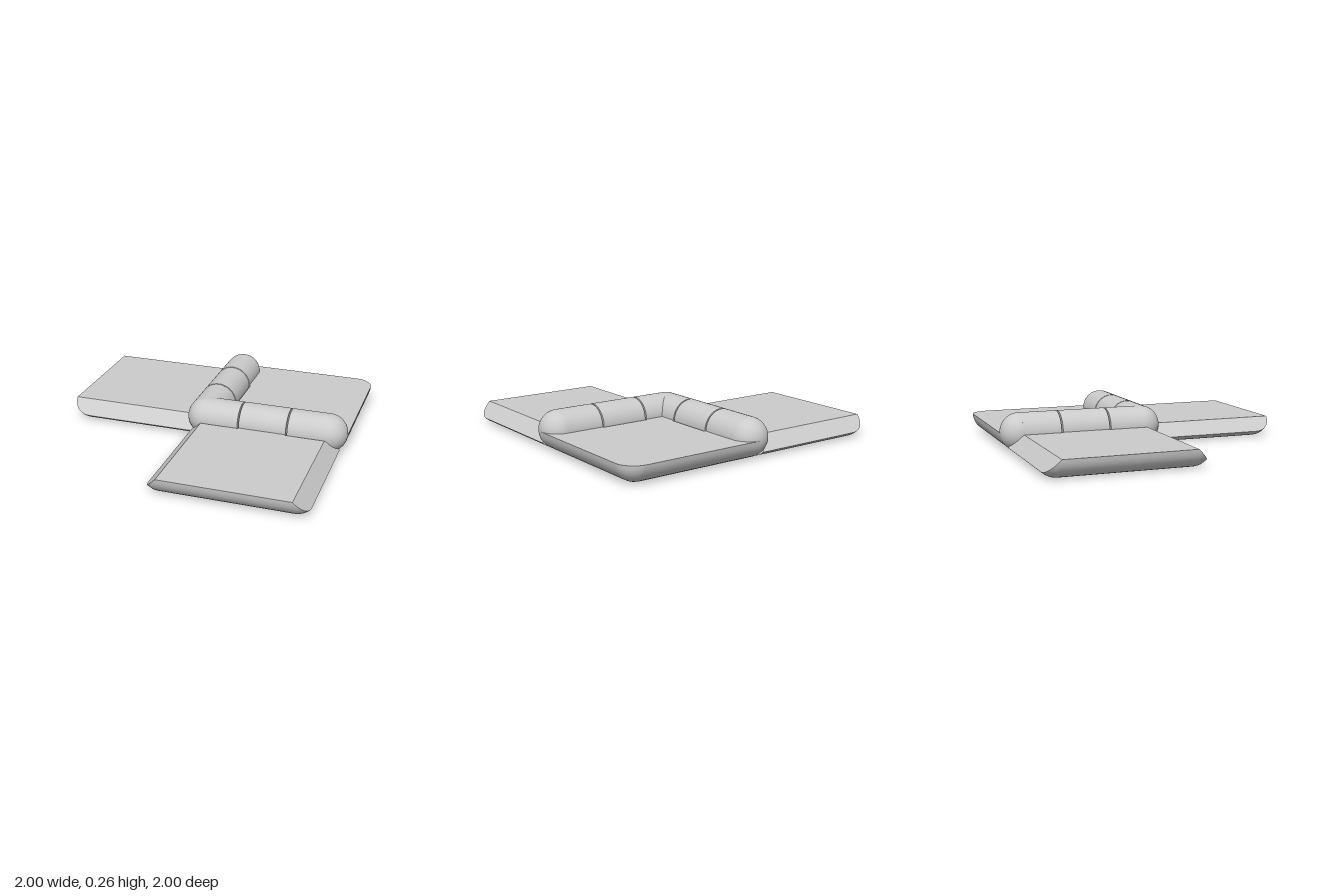
import * as THREE from 'three';
import { toCreasedNormals } from 'three/addons/utils/BufferGeometryUtils.js';

const R = 0.13;                 // barrel radius and plate thickness
const C = 0.14;                 // clearance radius around a barrel
const L = 0.87;                 // barrel axis length
const K0 = 0.27, K1 = 0.6;      // middle knuckle
const GAP = 0.01, EPS = 0.0002;
const SEG = 8;

const material = new THREE.MeshStandardMaterial({ color: 0xcccccc });

// Distance from the barrel axis at which a plate clears the barrel
function clearance(x, y) {
  const dx = Math.max(-x, x - L, 0);
  return Math.sqrt(Math.max(0, C * C - (R - y) ** 2 - dx * dx));
}

// Plate lying in +z from a barrel on the x axis, its lower edges rounded.
// A leaf has both side edges cut at 45 degrees and a tab in the middle;
// the base has a second barrel along x = 0 and notches for the leaf knuckles.
function plateGeometry(isLeaf) {
  const g = isLeaf ? 0 : GAP;
  const a0 = K0 - g, a1 = K1 + g;
  const inMiddle = (v) => v > a0 - EPS / 2 && v < a1 + EPS / 2;
  const steps = isLeaf
    ? [a0 - EPS, a0, a1, a1 + EPS]
    : [a0 - EPS, a0, a1, a1 + EPS];
  const xs = [0, ...steps, L];
  const cutStart = (x, y) => (inMiddle(x) !== isLeaf ? clearance(x, y) : 0);

  // One closed section: bottom, right edge, top, left edge
  function loop({ a = 0, s = 1, z = L, start = false, end = false }) {
    const pts = [];
    const add = (cx, ox, oy, top = false) => {
      let x = cx + ox * s;
      const y = R + oy * s * Math.cos(a);
      let pz = z + (top ? R * Math.sin(a) : -oy * s * Math.sin(a));
      if (start) pz = cutStart(x, y);
      else if (end) pz = L + R;
      else if (!isLeaf && cx === 0 && inMiddle(z)) x = clearance(z, y);
      pts.push([x, y, pz]);
    };
    const maxAngle = isLeaf ? Math.atan(Math.cos(a)) : Math.PI / 2;
    const arc = (cx, side, t) => {
      const b = maxAngle * t;
      add(cx, side * R * Math.sin(b), -R * Math.cos(b));
    };
    xs.forEach((x) => add(x, 0, -R));
    for (let k = 1; k <= SEG; k++) arc(L, 1, k / SEG);
    [...xs].reverse().forEach((x) => add(x, 0, 0, true));
    for (let k = SEG; k >= 1; k--) {
      if (isLeaf) arc(0, -1, k / SEG);
      else add(0, 0, -R * (1 - k / (SEG + 1)));
    }
    return pts;
  }

  // Sections from the barrel side to the rounded far edge
  const rows = [];
  for (let i = 0; i <= SEG; i++) rows.push(loop({ s: i / SEG, start: true }));
  if (!isLeaf) steps.forEach((z) => rows.push(loop({ z })));
  for (let i = 0; i <= SEG; i++) rows.push(loop({ a: (i / SEG) * Math.PI / 2 }));
  rows.push(loop({ s: 0, end: true }));

  const pos = [];
  const [A, B, D] = [0, 0, 0].map(() => new THREE.Vector3());
  const tri = (p, q, r) => {
    A.set(...p); B.set(...q).sub(A); D.set(...r).sub(A);
    if (B.cross(D).length() > 1e-9) pos.push(...p, ...q, ...r);
  };
  for (let j = 0; j < rows.length - 1; j++) {
    const n = rows[j].length;
    for (let k = 0; k < n; k++) {
      const m = (k + 1) % n;
      tri(rows[j][k], rows[j][m], rows[j + 1][m]);
      tri(rows[j][k], rows[j + 1][m], rows[j + 1][k]);
    }
  }
  const geo = new THREE.BufferGeometry();
  geo.setAttribute('position', new THREE.Float32BufferAttribute(pos, 3));
  return toCreasedNormals(geo, Math.PI / 6);
}

function addMesh(parent, name, geometry) {
  const mesh = new THREE.Mesh(geometry, material);
  mesh.name = name;
  parent.add(mesh);
  return mesh;
}

// Cylinder on the x axis at barrel height
function addRod(parent, name, x0, x1, radius) {
  const geo = new THREE.CylinderGeometry(radius, radius, x1 - x0, 48);
  geo.rotateZ(Math.PI / 2);
  addMesh(parent, name, geo).position.set((x0 + x1) / 2, R, 0);
}

function addBall(parent, name, x) {
  addMesh(parent, name, new THREE.SphereGeometry(R, 48, 32)).position.set(x, R, 0);
}

// Leaf plate with its middle knuckle
function makeLeaf(name) {
  const leaf = new THREE.Group();
  leaf.name = name;
  addMesh(leaf, 'leafPlate', plateGeometry(true));
  addRod(leaf, 'leafKnuckle', K0, K1, R);
  return leaf;
}

// Fixed barrel: two outer knuckles, pin and rounded end
function makeBarrel(name) {
  const barrel = new THREE.Group();
  barrel.name = name;
  addRod(barrel, 'innerKnuckle', 0, K0 - GAP, R);
  addRod(barrel, 'outerKnuckle', K1 + GAP, L, R);
  addRod(barrel, 'hingePin', K0 - 2 * GAP, K1 + 2 * GAP, 0.04);
  addBall(barrel, 'barrelEnd', L);
  return barrel;
}

export function createModel() {
  const model = new THREE.Group();
  model.name = 'doubleHinge';

  // Base plate with the L of two barrels
  const base = addMesh(model, 'basePlate', plateGeometry(false));
  base.rotation.y = Math.PI / 2;
  const frontBarrel = makeBarrel('frontBarrel');
  const sideBarrel = makeBarrel('sideBarrel');
  sideBarrel.rotation.y = Math.PI / 2;
  model.add(frontBarrel, sideBarrel);
  addBall(model, 'barrelCorner', 0);

  // Two leaves folding on the barrels
  const frontLeaf = makeLeaf('frontLeaf');
  const sideLeaf = makeLeaf('sideLeaf');
  sideLeaf.rotation.y = -Math.PI / 2;
  sideLeaf.position.z = -L;
  model.add(frontLeaf, sideLeaf);

  return model;
}
